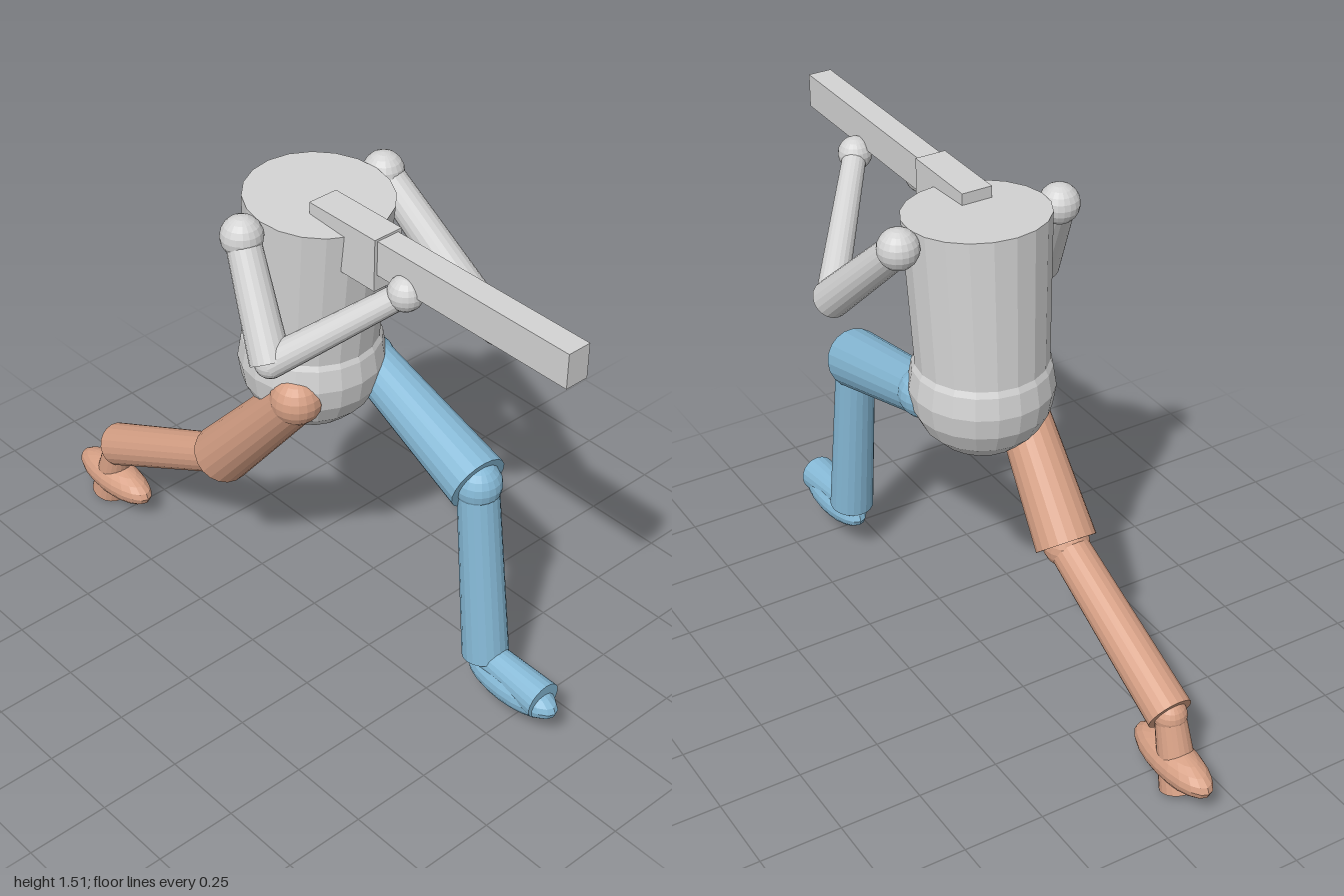
import * as THREE from 'three';

const mat = (name, color) => {
  const m = new THREE.MeshStandardMaterial({ color, flatShading: true });
  m.name = name;
  return m;
};
const V = (p) => new THREE.Vector3(...p);

export function createModel() {
  const root = new THREE.Group();
  root.name = 'mannequinWithRifle';
  const grey = mat('lightGrey', 0xd3d3d3);
  const blue = mat('softBlue', 0x86b9d6);
  const tan = mat('clayTan', 0xd6a085);

  const add = (parent, name, geo, material, pos) => {
    const mesh = new THREE.Mesh(geo, material);
    mesh.name = name;
    mesh.position.copy(pos);
    parent.add(mesh);
    return mesh;
  };
  const group = (name) => {
    const g = new THREE.Group();
    g.name = name;
    root.add(g);
    return g;
  };
  // Tapered closed cylinder running from point a to point b
  const limb = (parent, name, a, b, ra, rb, material) => {
    const A = V(a), dir = V(b).sub(A);
    const geo = new THREE.CylinderGeometry(rb, ra, dir.length(), 20);
    const mesh = add(parent, name, geo, material, A.addScaledVector(dir, 0.5));
    mesh.quaternion.setFromUnitVectors(new THREE.Vector3(0, 1, 0), dir.normalize());
  };
  const ball = (parent, name, p, r, material) =>
    add(parent, name, new THREE.SphereGeometry(r, 20, 10), material, V(p));

  // Body
  const body = group('body');
  limb(body, 'torso', [0, 0.97, -0.015], [0, 1.495, 0.02], 0.19, 0.21, grey);
  ball(body, 'pelvis', [0, 0.967, -0.01], 0.212, grey);

  // Arms
  const arms = [
    { name: 'leftArm', shoulder: [0.255, 1.46, 0], elbow: [0.31, 1.175, 0.3], hand: [0.02, 1.397, 0.68] },
    { name: 'rightArm', shoulder: [-0.255, 1.46, 0], elbow: [-0.31, 1.17, 0.175], hand: [-0.065, 1.41, 0.43] },
  ];
  for (const { name, shoulder, elbow, hand } of arms) {
    const arm = group(name);
    ball(arm, 'shoulder', shoulder, 0.06, grey);
    limb(arm, 'upperArm', shoulder, elbow, 0.048, 0.057, grey);
    ball(arm, 'elbow', elbow, 0.045, grey);
    limb(arm, 'forearm', elbow, hand, 0.045, 0.035, grey);
    ball(arm, 'hand', hand, 0.051, grey);
  }

  // Legs: toe is the end of the stub inside the foot
  const legs = [
    {
      name: 'leftLeg', material: blue, hip: [0.135, 0.925, 0.085], knee: [0.103, 0.775, 0.565],
      ankle: [0.1, 0.193, 0.635], toe: [0.1, 0.168, 0.868], foot: [0.1, 0.15, 0.747],
    },
    {
      name: 'rightLeg', material: tan, hip: [-0.145, 0.925, 0.09], knee: [-0.128, 0.513, -0.27],
      ankle: [-0.138, 0.25, -0.795], toe: [-0.138, 0.032, -0.86], foot: [-0.138, 0.105, -0.823],
    },
  ];
  for (const { name, material, hip, knee, ankle, toe, foot } of legs) {
    const leg = group(name);
    ball(leg, 'hip', hip, 0.077, material);
    limb(leg, 'thigh', hip, knee, 0.072, 0.092, material);
    ball(leg, 'knee', knee, 0.07, material);
    limb(leg, 'shin', knee, ankle, 0.06, 0.069, material);
    ball(leg, 'ankle', ankle, 0.05, material);
    limb(leg, 'footStub', ankle, toe, 0.045, 0.059, material);
    ball(leg, 'foot', foot, 0.062, material).scale.set(1.03, 0.95, 2.75);
  }

  // Rifle
  const rifle = group('rifle');
  add(rifle, 'barrel', new THREE.BoxGeometry(0.073, 0.103, 0.68), grey, V([-0.035, 1.468, 0.66]));
  add(rifle, 'receiver', new THREE.BoxGeometry(0.095, 0.157, 0.255), grey, V([-0.034, 1.448, 0.2]));

  return root;
}
